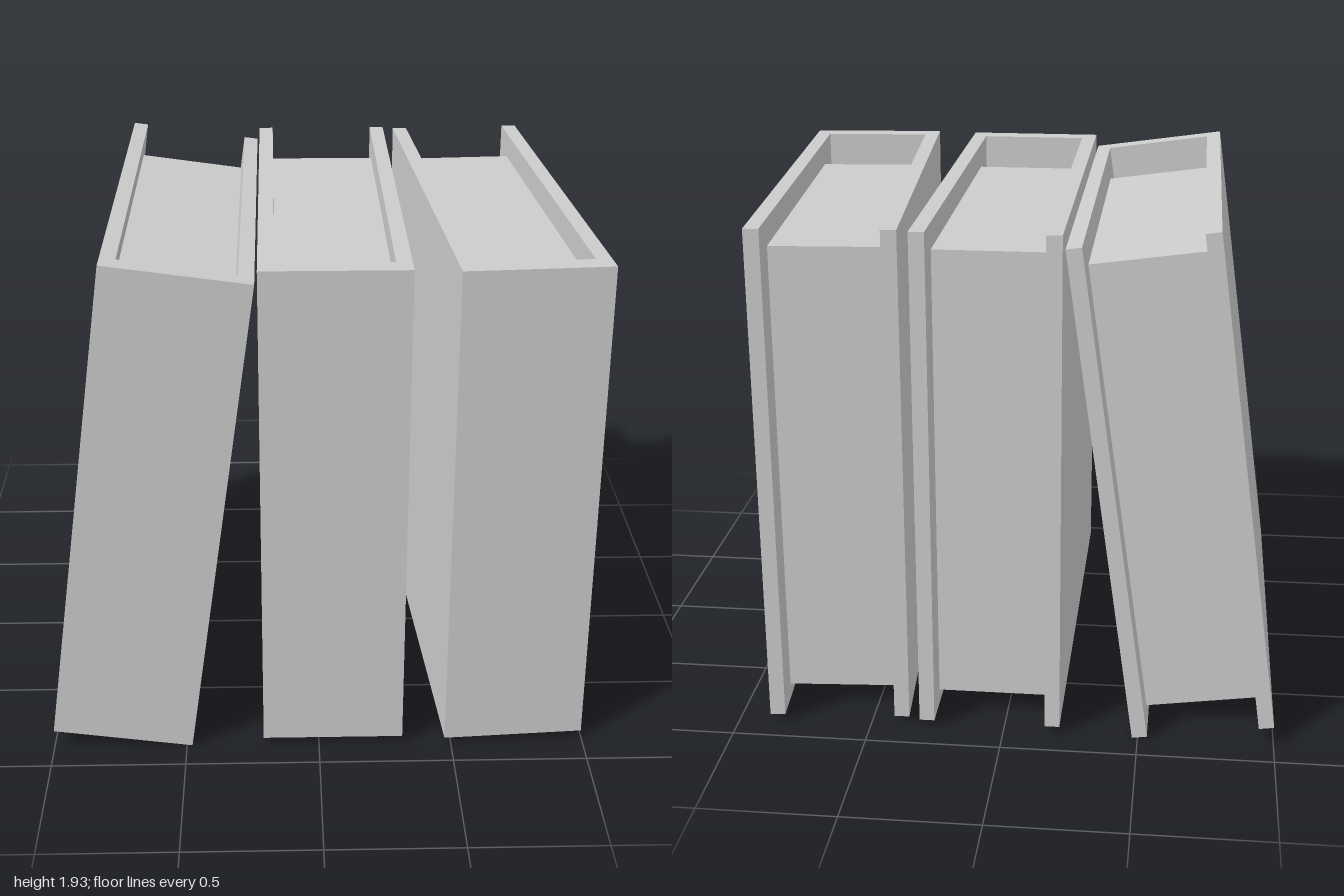
import * as THREE from 'three';

const W = 0.525, H = 1.875, D = 1.767; // outer size of one book
const BOARD = 0.056, SPINE = 0.08;     // cover board and spine thickness

const material = new THREE.MeshStandardMaterial({ color: 0xcccccc, flatShading: true });

// One book centred on its own origin, spine towards +z
function makeBook(name) {
  const book = new THREE.Group();
  book.name = name;

  // U-shaped cover: two boards joined by the spine, drawn in plan and extruded upwards
  const w = W / 2, d = D / 2, wi = w - BOARD, di = d - SPINE;
  const plan = new THREE.Shape([
    [-w, -d], [w, -d], [w, d], [wi, d], [wi, -di], [-wi, -di], [-wi, d], [-w, d],
  ].map(([x, y]) => new THREE.Vector2(x, y)));
  const coverGeometry = new THREE.ExtrudeGeometry(plan, { depth: H, bevelEnabled: false });
  coverGeometry.rotateX(-Math.PI / 2).translate(0, -H / 2, 0);
  const cover = new THREE.Mesh(coverGeometry, material);
  cover.name = 'cover';

  // Page block, set in from the top, bottom, spine and fore edge
  const bottom = -H / 2 + 0.055, top = H / 2 - 0.095, back = -0.748, front = 0.625;
  const pages = new THREE.Mesh(new THREE.BoxGeometry(wi * 2, top - bottom, front - back), material);
  pages.position.set(0, (top + bottom) / 2, (front + back) / 2);
  pages.name = 'pages';

  book.add(cover, pages);
  return book;
}

export function createModel() {
  const model = new THREE.Group();
  model.name = 'books';

  // Leaning against its neighbour
  const leaning = makeBook('leaningBook');
  leaning.position.set(-0.609, 0.97, 0);
  leaning.rotation.z = THREE.MathUtils.degToRad(-8);

  // Upright and square
  const middle = makeBook('middleBook');
  middle.position.set(0.053, 0.972, 0);

  // Upright, turned slightly
  const turned = makeBook('turnedBook');
  turned.position.set(0.678, 0.972, 0);
  turned.rotation.y = THREE.MathUtils.degToRad(3.8);

  model.add(leaning, middle, turned);
  return model;
}
